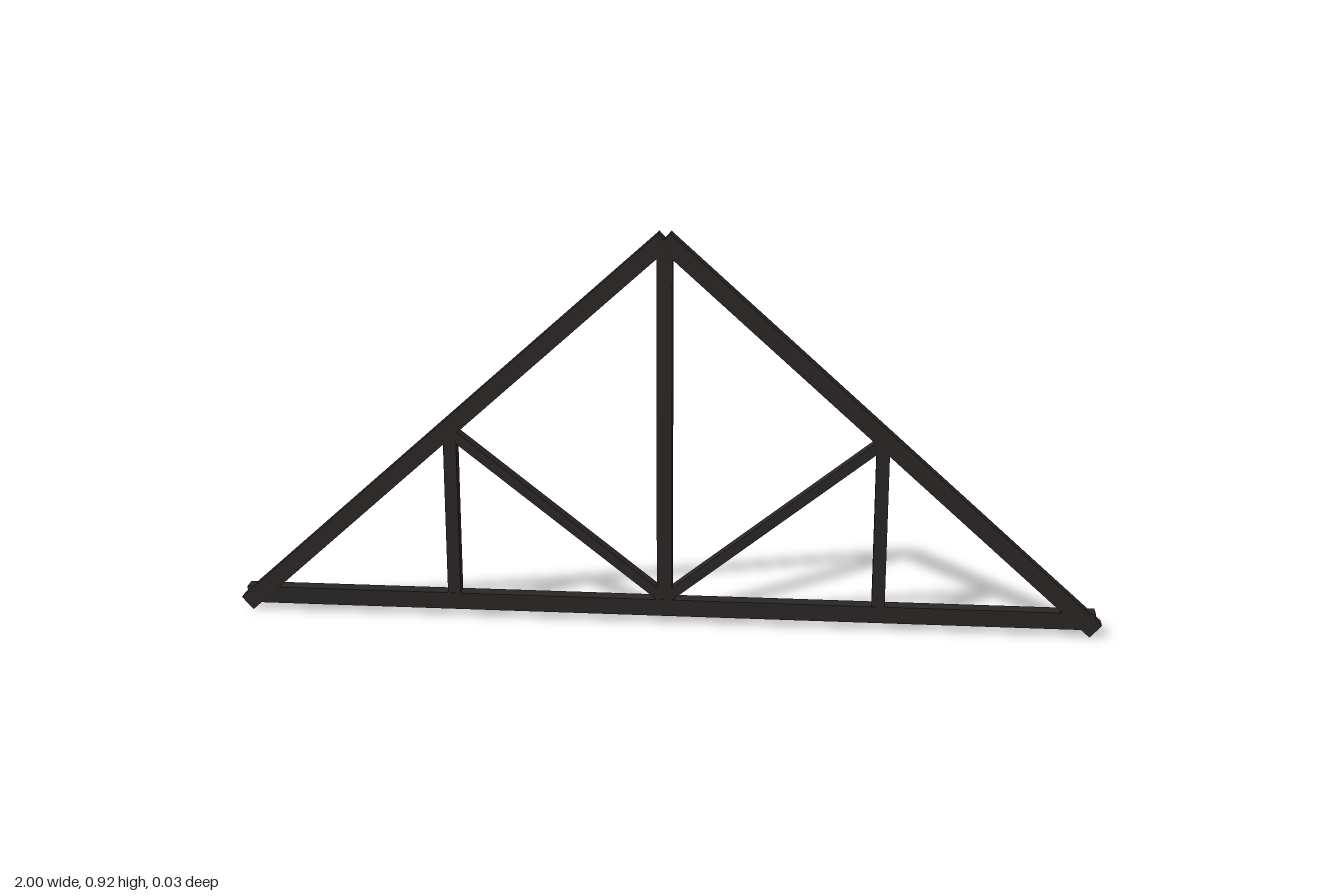
import * as THREE from 'three';

const material = new THREE.MeshStandardMaterial({ color: 0x2a2625 });

// Square-ended timber running between two points in the XY plane
function beam(name, [x1, y1], [x2, y2], thickness, depth) {
  const length = Math.hypot(x2 - x1, y2 - y1);
  const mesh = new THREE.Mesh(new THREE.BoxGeometry(length, thickness, depth), material);
  mesh.name = name;
  mesh.position.set((x1 + x2) / 2, (y1 + y2) / 2, 0);
  mesh.rotation.z = Math.atan2(y2 - y1, x2 - x1);
  return mesh;
}

export function createModel() {
  const truss = new THREE.Group();
  truss.name = 'roofTruss';

  // Bottom chord and central king post
  truss.add(beam('bottomChord', [-0.985, 0.038], [0.985, 0.038], 0.04, 0.0325));
  truss.add(beam('kingPost', [0, 0.04], [0, 0.9], 0.035, 0.0315));

  // Rafter, side post and diagonal strut, mirrored
  for (const [side, s] of [['left', 1], ['right', -1]]) {
    truss.add(beam(side + 'Rafter', [s * 0.987, 0.015], [0, 0.905], 0.04, 0.033));
    truss.add(beam(side + 'Post', [s * 0.492, 0.04], [s * 0.492, 0.455], 0.03, 0.031));
    truss.add(beam(side + 'Strut', [s * 0.492, 0.45], [0, 0.058], 0.023, 0.0305));
  }
  return truss;
}
